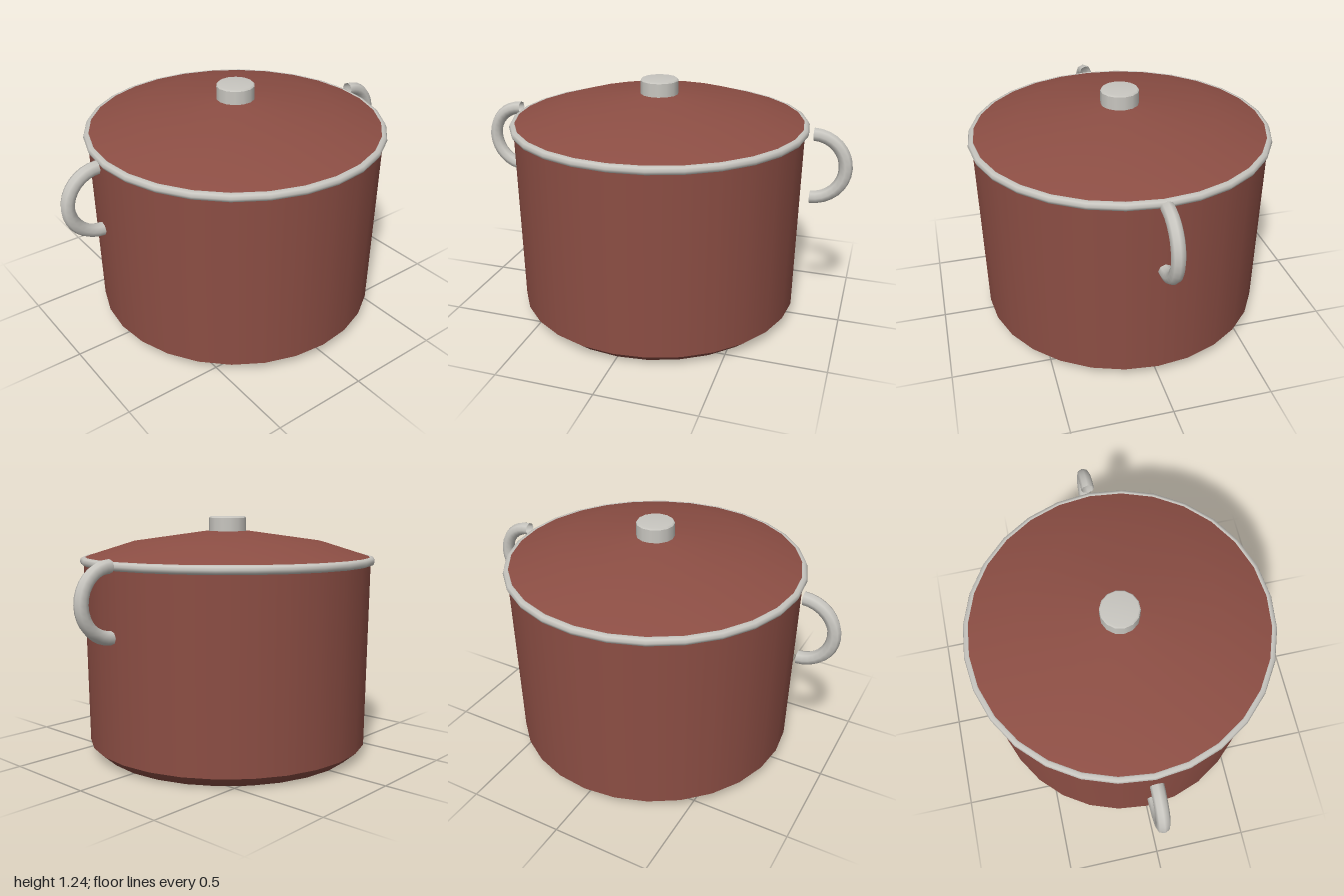
import * as THREE from 'three';

const SEGMENTS = 28;

export function createModel() {
  const pot = new THREE.Group();
  pot.name = 'cookingPot';

  const enamel = new THREE.MeshStandardMaterial({ color: 0x8c4e44 });
  enamel.name = 'redEnamel';
  const metal = new THREE.MeshStandardMaterial({ color: 0xc8c6c0, side: THREE.DoubleSide });
  metal.name = 'paleMetal';

  const add = (name, geometry, material) => {
    const mesh = new THREE.Mesh(geometry, material);
    mesh.name = name;
    pot.add(mesh);
    return mesh;
  };
  const lathe = (points, sides = SEGMENTS) =>
    new THREE.LatheGeometry(points.map(([r, y]) => new THREE.Vector2(r, y)), sides);

  // Body: chamfered base and slightly flared wall, with a crisp edge between
  add('base', lathe([[0, 0], [0.68, 0], [0.743, 0.055]]), enamel);
  add('wall', lathe([[0.743, 0.055], [0.755, 1.01]]), enamel);

  // Lid: shallow dome in two slopes with a small flat top
  add('lid', lathe([[0.755, 1.03], [0.5, 1.11], [0.12, 1.163], [0, 1.163]]), enamel);

  // Rolled rim where lid and body meet
  const rim = add('rim', new THREE.TorusGeometry(0.753, 0.022, 8, SEGMENTS), metal);
  rim.rotation.x = Math.PI / 2;
  rim.position.y = 1.013;

  // Knob: side, softened edge and flat top
  add('knobSide', lathe([[0.098, 1.155], [0.098, 1.232]], 14), metal);
  add('knobTop', lathe([[0.098, 1.232], [0.09, 1.241], [0, 1.241]], 14), metal);

  // Half-ring handles, front and back
  const handleGeometry = new THREE.TorusGeometry(0.166, 0.034, 8, 16, Math.PI);
  handleGeometry.rotateZ(-Math.PI / 2);
  for (const [name, side] of [['frontHandle', 1], ['backHandle', -1]]) {
    const handle = add(name, handleGeometry, metal);
    handle.rotation.y = -side * Math.PI / 2;
    handle.position.set(0, 0.852, side * 0.8);
  }

  return pot;
}
